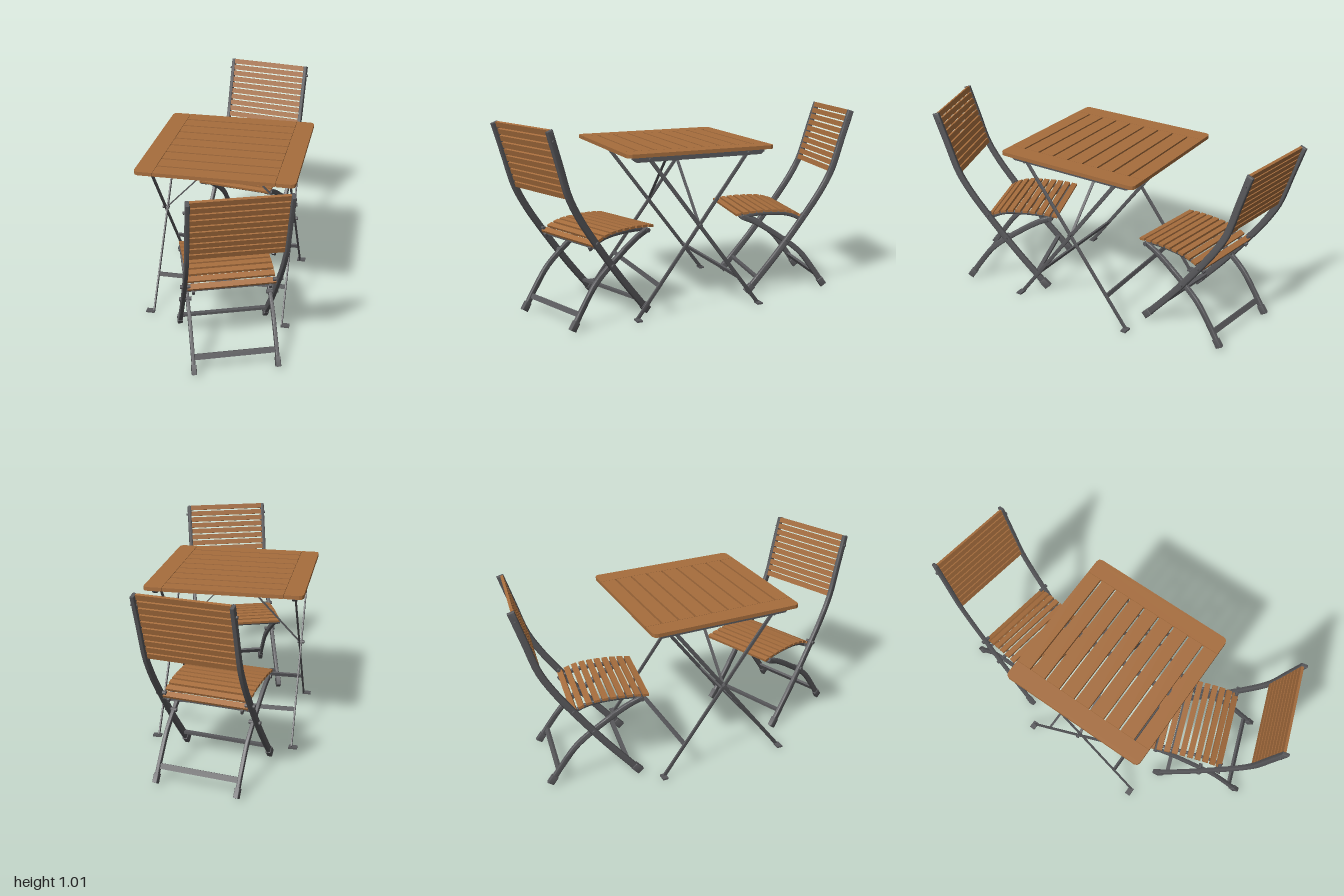
import * as THREE from 'three';
import { toCreasedNormals } from 'three/addons/utils/BufferGeometryUtils.js';

const wood = new THREE.MeshStandardMaterial({ color: 0xa66d3d });
wood.name = 'oiled wood';
const metal = new THREE.MeshStandardMaterial({ color: 0x58585b });
metal.name = 'grey painted steel';

function add(parent, name, geometry, material, x = 0, y = 0, z = 0) {
  const mesh = new THREE.Mesh(geometry, material);
  mesh.name = name;
  mesh.position.set(x, y, z);
  parent.add(mesh);
  return mesh;
}

const box = (w, h, d) => new THREE.BoxGeometry(w, h, d);
const curveOf = (pts) =>
  new THREE.CatmullRomCurve3(pts.map(([z, y]) => new THREE.Vector3(0, y, z)), false, 'centripetal');

// Bar of even depth following a side profile of [z, y] points, with softened edges
function profileBar(pts, depth, width, bevel = 0.004) {
  const curve = curveOf(pts);
  const n = pts.length > 2 ? 20 : 1;
  const r = depth / 2 - bevel;
  const upper = [], lower = [];
  for (let i = 0; i <= n; i++) {
    const p = curve.getPoint(i / n), t = curve.getTangent(i / n);
    upper.push(new THREE.Vector2(p.z - t.y * r, p.y + t.z * r));
    lower.unshift(new THREE.Vector2(p.z + t.y * r, p.y - t.z * r));
  }
  const inner = width - 2 * bevel;
  const g = new THREE.ExtrudeGeometry(new THREE.Shape([...upper, ...lower]), {
    depth: inner, bevelEnabled: true, bevelSize: bevel, bevelThickness: bevel, bevelSegments: 2,
  });
  g.translate(0, 0, -inner / 2);
  g.rotateY(-Math.PI / 2);
  return toCreasedNormals(g, 0.9);
}

// Round pin lying along x
function pin(radius, length) {
  return new THREE.CylinderGeometry(radius, radius, length, 12).rotateZ(Math.PI / 2);
}

// Wooden slats set across a profile, tilted to follow it
function slats(parent, name, pts, count, length, width, thickness) {
  const curve = curveOf(pts);
  const total = curve.getLength();
  for (let i = 0; i < count; i++) {
    const u = (width / 2 + (i * (total - width)) / (count - 1)) / total;
    const p = curve.getPointAt(u), t = curve.getTangentAt(u);
    const slat = add(parent, name, box(length, thickness, width), wood, 0, p.y, p.z);
    slat.rotation.x = -Math.atan2(t.y, t.z);
  }
}

// Folding chair: z runs forward from the top of the back
function chair(name) {
  const g = new THREE.Group();
  g.name = name;
  const post = [[0, 0.99], [0.05, 0.83], [0.1, 0.67], [0.165, 0.55], [0.24, 0.44], [0.4, 0.225], [0.575, 0.015]];
  const leg = [[0.6, 0.43], [0.53, 0.4], [0.425, 0.335], [0.27, 0.22], [0.19, 0.12], [0.118, 0.015]];
  const seat = [[0.245, 0.408], [0.3, 0.436], [0.36, 0.452], [0.48, 0.458], [0.58, 0.453], [0.64, 0.445]];
  const rail = seat.slice(0, 5).map(([z, y]) => [z, y - 0.018]);

  for (const s of [-1, 1]) {
    add(g, 'backPost', profileBar(post, 0.036, 0.02, 0.006), metal, s * 0.228);
    add(g, 'rearLeg', profileBar(leg, 0.03, 0.018, 0.005), metal, s * 0.206);
    add(g, 'seatRail', profileBar(rail, 0.022, 0.014), metal, s * 0.186);
    // Foot caps
    add(g, 'postFoot', profileBar([[0.55, 0.045], [0.58, 0.012]], 0.04, 0.027), metal, s * 0.228);
    add(g, 'legFoot', profileBar([[0.138, 0.045], [0.115, 0.012]], 0.036, 0.025), metal, s * 0.206);
    // Pivot and fixing bolts
    add(g, 'pivotBolt', pin(0.01, 0.06), metal, s * 0.217, 0.293, 0.348);
    add(g, 'seatBolt', pin(0.009, 0.05), metal, s * 0.224, 0.425, 0.252);
    add(g, 'backBolt', pin(0.007, 0.03), metal, s * 0.231, 0.945, 0.014);
    add(g, 'frontBolt', pin(0.012, 0.04), metal, s * 0.2, 0.428, 0.602);
  }

  // Cross bars joining the two sides
  add(g, 'seatRearBar', box(0.44, 0.026, 0.014), metal, 0, 0.405, 0.262);
  add(g, 'seatFrontBar', pin(0.01, 0.4), metal, 0, 0.428, 0.6);
  add(g, 'postCrossBar', box(0.44, 0.014, 0.022), metal, 0, 0.085, 0.516);
  add(g, 'legCrossBar', box(0.4, 0.028, 0.014), metal, 0, 0.077, 0.162).rotation.x = 0.5;

  slats(g, 'seatSlat', seat, 10, 0.428, 0.03, 0.013);
  slats(g, 'backSlat', [[0.006, 0.998], [0.056, 0.83], [0.108, 0.663]], 10, 0.438, 0.028, 0.014);
  return g;
}

// End plank of the table top with two clipped outer corners
function endPlank(width, length, thickness) {
  const c = 0.022, h = length / 2;
  const shape = new THREE.Shape([
    [0, -h], [width - c, -h], [width - c * 0.3, -h + c * 0.3], [width, -h + c],
    [width, h - c], [width - c * 0.3, h - c * 0.3], [width - c, h], [0, h],
  ].map(([x, y]) => new THREE.Vector2(x, y)));
  return new THREE.ExtrudeGeometry(shape, { depth: thickness, bevelEnabled: false }).rotateX(-Math.PI / 2);
}

function table() {
  const g = new THREE.Group();
  g.name = 'table';
  const size = 0.8, top = 0.835, thick = 0.019, plank = 0.096;

  // Slatted top between two end planks
  for (const s of [-1, 1]) {
    const end = add(g, 'endPlank', endPlank(plank, size, thick), wood, s * (size / 2 - plank), top, 0);
    if (s < 0) {
      end.rotation.y = Math.PI;
    }
  }
  const count = 9, gap = 0.011, w = (size - gap * (count - 1)) / count;
  for (let i = 0; i < count; i++) {
    const z = -size / 2 + w / 2 + i * (w + gap);
    add(g, 'topSlat', box(size - 2 * plank - 0.004, thick, w), wood, 0, top + thick / 2, z);
  }

  // Under-frame rails with tapered ends
  const railShape = new THREE.Shape([
    [-0.36, 0.835], [-0.36, 0.82], [-0.34, 0.806], [0.34, 0.806], [0.36, 0.82], [0.36, 0.835],
  ].map(([x, y]) => new THREE.Vector2(x, y)));
  for (const s of [-1, 1]) {
    const rail = new THREE.ExtrudeGeometry(railShape, { depth: 0.024, bevelEnabled: false });
    rail.translate(0, 0, -0.012).rotateY(-Math.PI / 2);
    add(g, 'sideRail', rail, metal, s * 0.352);
  }
  add(g, 'centreRail', box(0.026, 0.012, 0.72), metal, 0, 0.829, 0);

  // Crossed leg frames, one just inside the other
  for (const [dir, x] of [[1, 0.356], [-1, 0.346]]) {
    for (const s of [-1, 1]) {
      const bar = profileBar([[dir * 0.272, 0.82], [-dir * 0.338, 0.008]], 0.02, 0.008, 0.002);
      add(g, 'tableLeg', bar, metal, s * x);
      add(g, 'legTopBolt', pin(0.01, 0.036), metal, s * 0.356, 0.817, dir * 0.27);
      add(g, 'tableFoot', box(0.045, 0.009, 0.03), metal, s * 0.364, 0.0055, -dir * 0.342);
    }
    const tie = add(g, 'tableCrossBar', box(2 * x, 0.022, 0.011), metal, 0, 0.165, -dir * 0.22);
    tie.rotation.x = dir * 0.3;
  }

  // Pivots and slim braces up to the centre rail
  for (const s of [-1, 1]) {
    add(g, 'tablePivot', pin(0.009, 0.036), metal, s * 0.354, 0.462, 0);
    const dx = 0.345, dy = 0.362;
    const brace = add(g, 'brace', box(0.005, Math.hypot(dx, dy), 0.015), metal, (s * dx) / 2, 0.465 + dy / 2, 0);
    brace.rotation.z = s * Math.atan2(dx, dy);
  }
  return g;
}

export function createModel() {
  const model = new THREE.Group();
  model.name = 'gardenTableAndChairs';

  const t = table();
  t.position.set(-0.03, 0, 0.025);
  model.add(t);

  // Two chairs drawn up at opposite sides, each slightly turned
  const back = chair('backChair');
  back.position.set(0.026, 0, -0.945);
  back.rotation.y = -0.155;
  model.add(back);

  const front = chair('frontChair');
  front.position.set(0.197, 0, 0.894);
  front.rotation.y = Math.PI + 0.352;
  model.add(front);
  return model;
}
